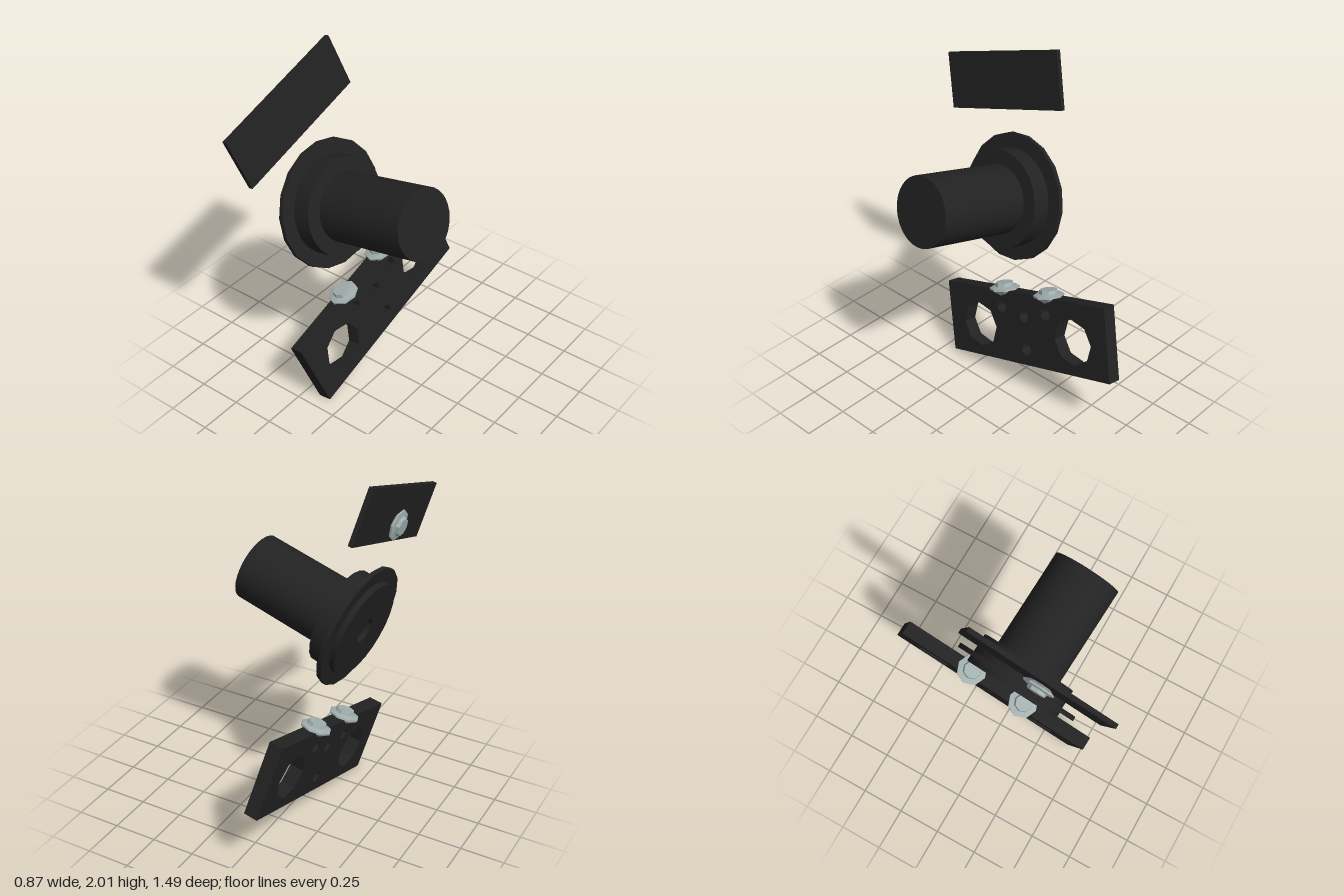
import * as THREE from 'three';
import { toCreasedNormals } from 'three/addons/utils/BufferGeometryUtils.js';

const black = new THREE.MeshStandardMaterial({ color: 0x222222 });
black.name = 'black';
const steel = new THREE.MeshStandardMaterial({ color: 0xa3b0b0 });
steel.name = 'steel';

function mesh(name, geometry, material) {
  const m = new THREE.Mesh(geometry, material);
  m.name = name;
  return m;
}

// Tilted assembly frame: local x runs along a plate, y across it, z out of its face
function frame(name, tilt, x, y, z) {
  const g = new THREE.Group();
  g.name = name;
  const roll = THREE.MathUtils.degToRad(18);
  const c = Math.cos(tilt), s = Math.sin(tilt), cr = Math.cos(roll), sr = Math.sin(roll);
  const u = new THREE.Vector3(0, sr, -cr);
  const v = new THREE.Vector3(-s, c * cr, c * sr);
  const n = new THREE.Vector3(c, s * cr, s * sr);
  g.quaternion.setFromRotationMatrix(new THREE.Matrix4().makeBasis(u, v, n));
  g.position.set(x, y, z);
  return g;
}

// Eight-sided hole outline
function octagon(x, y, r) {
  const pts = [];
  for (let i = 0; i < 8; i++) {
    const a = -i * Math.PI / 4;
    pts.push(new THREE.Vector2(x + r * Math.cos(a), y + r * Math.sin(a)));
  }
  return new THREE.Path(pts);
}

function lathe(points, sides) {
  return new THREE.LatheGeometry(points.map(([r, y]) => new THREE.Vector2(r, y)), sides);
}

// Flanged screw with a tapered shank, pointing up local y
function screw(name) {
  const g = lathe([[0, -0.046], [0.03, -0.046], [0.05, -0.03], [0.087, -0.005], [0.087, 0.006],
    [0.055, 0.014], [0.05, 0.035], [0, 0.035]], 8);
  return mesh(name, toCreasedNormals(g, 0.3), steel);
}

// Drum section between two distances along local z
function drum(name, r, from, to, sides) {
  const g = new THREE.CylinderGeometry(r, r, to - from, sides);
  g.translate(0, (from + to) / 2, 0).rotateX(Math.PI / 2);
  return mesh(name, g, black);
}

export function createModel() {
  const model = new THREE.Group();
  model.name = 'mountingAssembly';
  const plateTilt = THREE.MathUtils.degToRad(11.4);

  // Lower bracket with two large and four small holes
  const lower = frame('lowerBracket', plateTilt, -0.164, 0.388, -0.097);
  const w = 0.61, h = 0.212, t = 0.08;
  const outline = new THREE.Shape([[-w, -h], [w, -h], [w, h], [-w, h]].map(([x, y]) => new THREE.Vector2(x, y)));
  for (const side of [-1, 1]) {
    outline.holes.push(octagon(side * 0.363, -0.02, 0.133), octagon(side * 0.17, 0.112, 0.036));
    const s = screw(side < 0 ? 'frontEdgeScrew' : 'rearEdgeScrew');
    s.position.set(side * 0.173, 0.215, 0);
    lower.add(s);
  }
  outline.holes.push(octagon(0, 0.076, 0.036), octagon(0, -0.118, 0.036));
  const plate = new THREE.ExtrudeGeometry(outline, { depth: t, bevelEnabled: false });
  plate.translate(0, 0, -t / 2);
  lower.add(mesh('drilledPlate', plate, black));

  // Upper cover plate with a screw on its rear face
  const upper = frame('upperCover', plateTilt, -0.385, 1.727, 0.305);
  upper.add(mesh('coverPlate', new THREE.BoxGeometry(0.825, 0.312, 0.025), black));
  const coverScrew = screw('coverScrew');
  coverScrew.rotation.x = -Math.PI / 2;
  coverScrew.scale.y = 0.8;
  coverScrew.position.set(-0.04, -0.058, -0.03);
  upper.add(coverScrew);

  // Flanged barrel
  const barrel = frame('flangedBarrel', THREE.MathUtils.degToRad(15.5), -0.163, 1.146, 0.142);
  barrel.add(
    drum('tube', 0.192, -0.01, 0.559, 32),
    drum('collar', 0.274, -0.11, 0, 24),
    drum('flange', 0.356, -0.132, -0.106, 18),
  );
  const hub = lathe([[0, -0.134], [0.07, -0.134], [0.07, -0.165], [0.277, -0.165], [0.277, -0.13], [0, -0.13]], 24);
  hub.rotateX(Math.PI / 2);
  barrel.add(mesh('rearHub', toCreasedNormals(hub, 0.6), black));

  model.add(lower, upper, barrel);
  return model;
}
